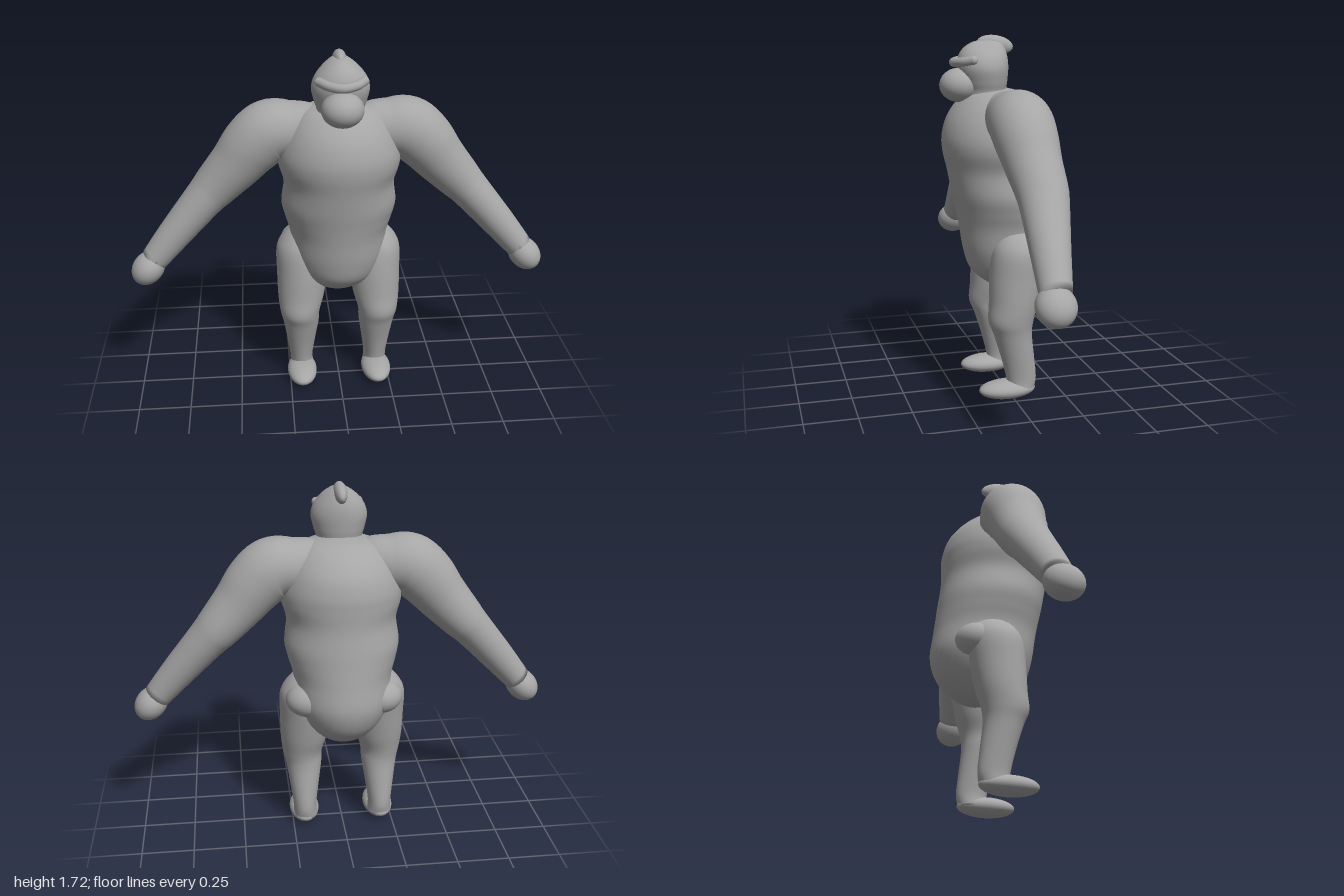
import * as THREE from 'three';

const grey = new THREE.MeshStandardMaterial({ color: 0xa6a6a6 });
grey.name = 'plain grey';

function part(name, geometry) {
  const mesh = new THREE.Mesh(geometry, grey);
  mesh.name = name;
  return mesh;
}

// Smooth closed skin through sections [x, y, z, side radius, z radius].
// Sections lie flat when upright, otherwise they follow the path in the xy plane.
function loft(name, sections, upright, steps = 6, sides = 40) {
  const centres = new THREE.CatmullRomCurve3(sections.map(s => new THREE.Vector3(s[0], s[1], s[2])));
  const radii = new THREE.CatmullRomCurve3(sections.map(s => new THREE.Vector3(s[3], s[4], 0)));
  centres.curveType = radii.curveType = 'catmullrom';
  const rows = (sections.length - 1) * steps;
  const pos = [], index = [];
  for (let i = 0; i <= rows; i++) {
    const t = i / rows;
    const c = centres.getPoint(t), r = radii.getPoint(t);
    const dir = upright ? new THREE.Vector3(0, 1, 0) : centres.getTangent(t).setZ(0).normalize();
    const side = new THREE.Vector3().crossVectors(dir, new THREE.Vector3(0, 0, 1));
    for (let j = 0; j < sides; j++) {
      const a = j / sides * Math.PI * 2;
      const s = Math.sin(a) * Math.max(r.x, 0.001), f = Math.cos(a) * Math.max(r.y, 0.001);
      pos.push(c.x + side.x * s, c.y + side.y * s, c.z + f);
    }
  }
  for (let i = 0; i < rows; i++) {
    for (let j = 0; j < sides; j++) {
      const k = (j + 1) % sides, a = i * sides, b = a + sides;
      index.push(a + j, a + k, b + k, a + j, b + k, b + j);
    }
  }
  // End caps
  const top = rows * sides;
  for (let j = 1; j < sides - 1; j++) {
    index.push(0, j + 1, j, top, top + j, top + j + 1);
  }
  const g = new THREE.BufferGeometry();
  g.setAttribute('position', new THREE.Float32BufferAttribute(pos, 3));
  g.setIndex(index);
  g.computeVertexNormals();
  return part(name, g);
}

function blob(name, x, y, z, rx, ry, rz) {
  const mesh = part(name, new THREE.SphereGeometry(1, 40, 28));
  mesh.position.set(x, y, z);
  mesh.scale.set(rx, ry, rz);
  return mesh;
}

// Torso from [y, front z, back z, half width]
function torso() {
  const profile = [
    [0.475, -0.07, -0.09, 0.01], [0.49, -0.01, -0.14, 0.07], [0.53, 0.07, -0.205, 0.13],
    [0.6, 0.155, -0.265, 0.19], [0.7, 0.19, -0.295, 0.23], [0.82, 0.21, -0.283, 0.237],
    [0.9, 0.225, -0.273, 0.258], [0.98, 0.243, -0.264, 0.274], [1.09, 0.265, -0.25, 0.262],
    [1.18, 0.285, -0.25, 0.285], [1.25, 0.288, -0.248, 0.285], [1.33, 0.268, -0.225, 0.26],
    [1.4, 0.225, -0.17, 0.22], [1.45, 0.17, -0.1, 0.16], [1.475, 0.09, -0.01, 0.05]
  ];
  return loft('torso', profile.map(([y, f, b, w]) => [0, y, (f + b) / 2, w, (f - b) / 2]), true);
}

function arm(s) {
  const group = new THREE.Group();
  group.name = s > 0 ? 'leftArm' : 'rightArm';
  const upper = [
    [0.08, 1.35, 0.03, 0.08, 0.08], [0.13, 1.35, 0.02, 0.115, 0.11], [0.22, 1.345, 0.01, 0.13, 0.13],
    [0.32, 1.335, 0.005, 0.145, 0.145], [0.4, 1.27, 0.002, 0.142, 0.142],
    [0.48, 1.175, -0.005, 0.125, 0.128], [0.58, 1.065, -0.015, 0.107, 0.115],
    [0.64, 1.0, -0.01, 0.095, 0.106], [0.78, 0.84, 0.01, 0.08, 0.085], [0.89, 0.71, 0.025, 0.066, 0.07]
  ];
  group.add(loft('armSkin', upper.map(([x, ...r]) => [x * s, ...r]), false));
  const hand = blob('hand', 0.922 * s, 0.668, 0.035, 0.073, 0.09, 0.087);
  hand.rotation.z = s * 0.75;
  group.add(hand);
  return group;
}

function leg(s) {
  const group = new THREE.Group();
  group.name = s > 0 ? 'leftLeg' : 'rightLeg';
  const skin = [
    [0.187, 0.04, -0.04, 0.06, 0.065], [0.19, 0.1, -0.042, 0.057, 0.073], [0.19, 0.2, -0.025, 0.07, 0.08],
    [0.19, 0.32, 0.0, 0.088, 0.092], [0.195, 0.39, 0.01, 0.098, 0.108],
    [0.187, 0.48, -0.005, 0.115, 0.118], [0.18, 0.6, -0.02, 0.124, 0.13],
    [0.18, 0.71, -0.035, 0.124, 0.135], [0.175, 0.77, -0.04, 0.105, 0.12],
    [0.165, 0.82, -0.04, 0.065, 0.08], [0.16, 0.84, -0.04, 0.01, 0.01]
  ];
  group.add(
    loft('legSkin', skin.map(([x, ...r]) => [x * s, ...r]), true),
    blob('buttock', 0.17 * s, 0.72, -0.12, 0.11, 0.085, 0.1),
    blob('foot', 0.19 * s, 0.046, 0.027, 0.074, 0.046, 0.138)
  );
  return group;
}

function head() {
  const group = new THREE.Group();
  group.name = 'head';
  // Neck and skull in one skin
  group.add(loft('skull', [
    [0, 1.38, 0.08, 0.13, 0.11], [0, 1.45, 0.085, 0.108, 0.1], [0, 1.5, 0.09, 0.12, 0.11],
    [0, 1.56, 0.095, 0.132, 0.12], [0, 1.61, 0.095, 0.118, 0.118], [0, 1.655, 0.088, 0.082, 0.1],
    [0, 1.685, 0.075, 0.042, 0.068], [0, 1.698, 0.07, 0.008, 0.01]
  ], true));
  group.add(blob('muzzle', 0, 1.488, 0.205, 0.096, 0.08, 0.095));
  // Curved brow ridge with rounded ends
  const brow = new THREE.CatmullRomCurve3([-1, -0.6, 0, 0.6, 1].map(t =>
    new THREE.Vector3(t * 0.1, 1.592 + t * t * 0.012, 0.232 - t * t * 0.07)));
  group.add(part('browRidge', new THREE.TubeGeometry(brow, 32, 0.021, 14)));
  for (const s of [-1, 1]) group.add(blob('browEnd', 0.1 * s, 1.604, 0.162, 0.021, 0.021, 0.021));
  // Crest running back over the skull
  const crest = blob('crest', 0, 1.672, 0.035, 0.032, 0.044, 0.088);
  crest.rotation.x = -0.15;
  group.add(crest);
  return group;
}

export function createModel() {
  const model = new THREE.Group();
  model.name = 'ape';
  model.add(torso(), head());
  for (const s of [-1, 1]) model.add(arm(s), leg(s));
  return model;
}
